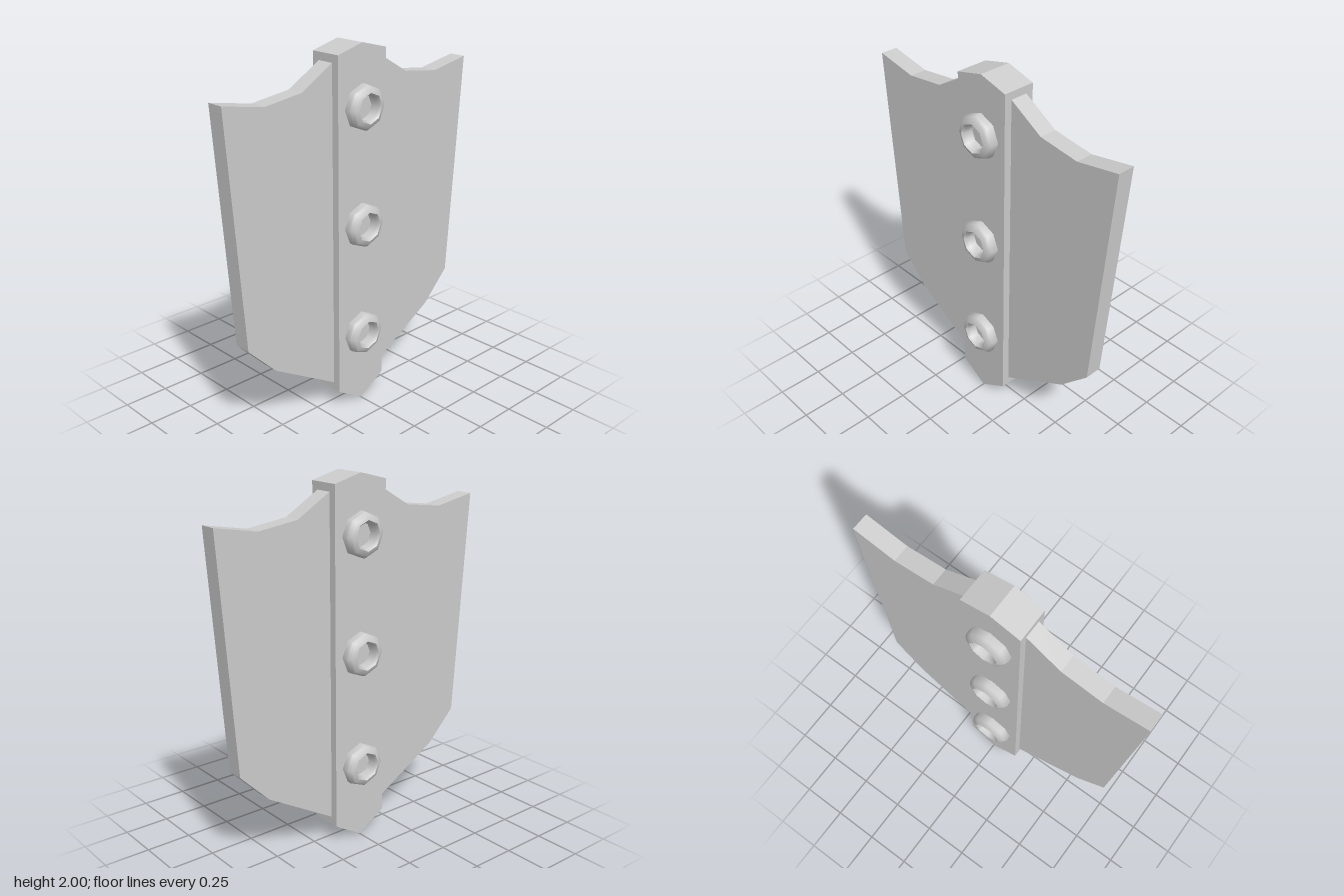
import * as THREE from 'three';

const material = new THREE.MeshStandardMaterial({ color: 0xcccccc, side: THREE.DoubleSide });

// Flat slab centred on z = 0, with an outline symmetric about x = 0
// (the right half is given from top to bottom).
function slab(name, half, depth) {
  const mirrored = half.filter(([x]) => x > 0).map(([x, y]) => [-x, y]).reverse();
  const shape = new THREE.Shape([...half, ...mirrored].map(([x, y]) => new THREE.Vector2(x, y)));
  const geometry = new THREE.ExtrudeGeometry(shape, { depth, bevelEnabled: false });
  geometry.translate(0, 0, -depth / 2);
  const mesh = new THREE.Mesh(geometry, material);
  mesh.name = name;
  return mesh;
}

export function createModel() {
  const group = new THREE.Group();
  group.name = 'shield';

  // Shield body with scalloped top and tapering foot
  group.add(slab('shieldPanel', [
    [0.165, 1.915], [0.36, 1.8], [0.59, 1.77], [0.833, 1.815],
    [0.743, 0.553], [0.573, 0.38], [0.165, 0.143],
  ], 0.096));

  // Thick central strap, pointed at both ends
  group.add(slab('centreStrap', [[0, 2], [0.165, 1.957], [0.165, 0.1], [0, 0]], 0.18));

  // Rounded eight-sided ring rivets, three on each face
  const profile = [
    [0.12, 0], [0.12, 0.026], [0.115, 0.04], [0.102, 0.054], [0.08, 0.062],
  ].map(([r, h]) => new THREE.Vector2(r, h));
  const bore = [[0.08, 0.062], [0.067, 0.045], [0.065, 0]].map(([r, h]) => new THREE.Vector2(r, h));
  const outer = new THREE.LatheGeometry(profile, 8).rotateX(Math.PI / 2);
  const inner = new THREE.LatheGeometry(bore, 8).rotateX(Math.PI / 2);
  for (const side of [1, -1]) {
    for (const y of [0.416, 1.047, 1.678]) {
      const rivet = new THREE.Group();
      rivet.name = side > 0 ? 'frontRivet' : 'backRivet';
      const dome = new THREE.Mesh(outer, material);
      dome.name = 'rivetDome';
      const hole = new THREE.Mesh(inner, material);
      hole.name = 'rivetHole';
      rivet.add(dome, hole);
      rivet.position.set(0, side > 0 ? y : y + 0.014, side * 0.09);
      if (side < 0) rivet.rotation.y = Math.PI;
      group.add(rivet);
    }
  }
  return group;
}
